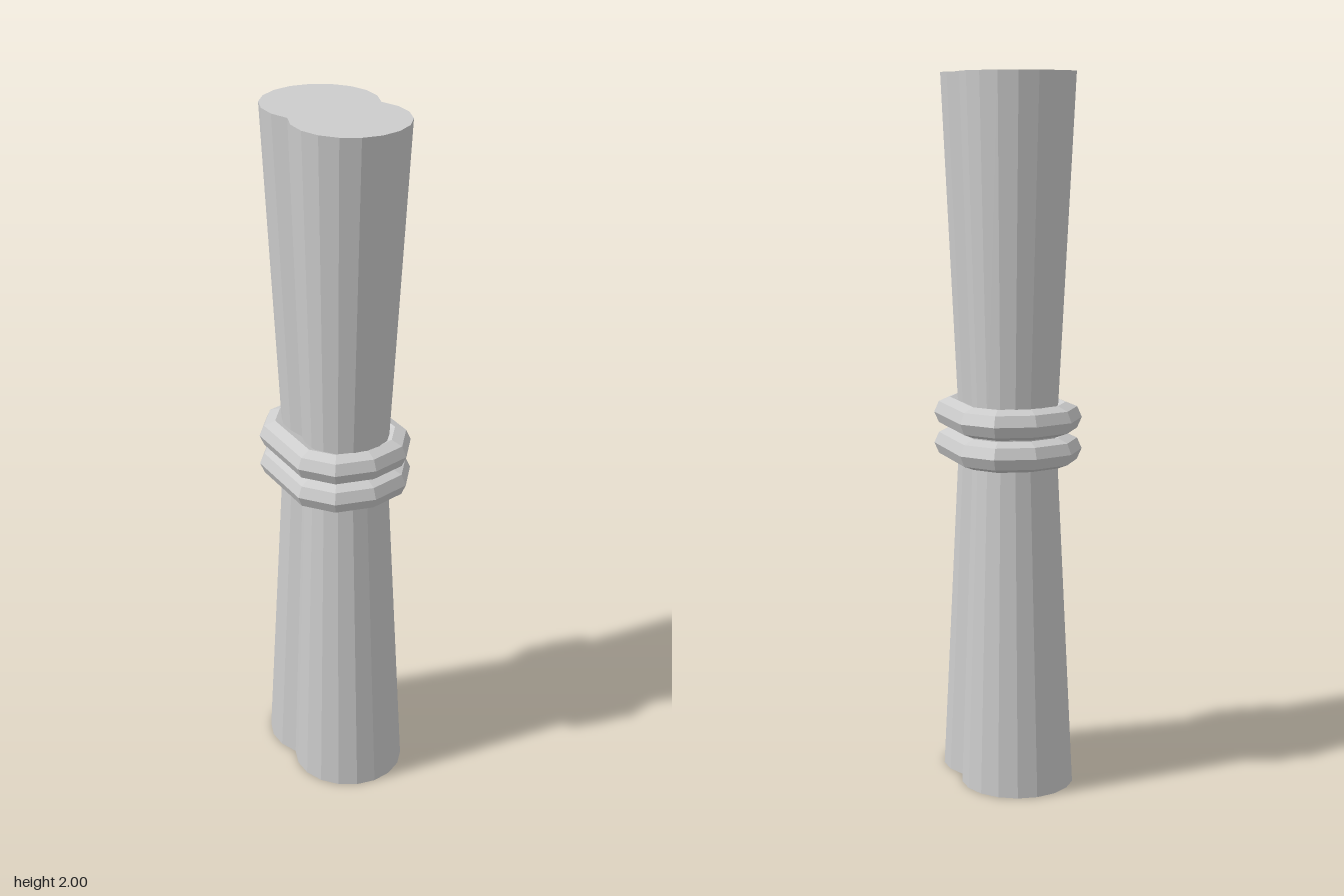
import * as THREE from 'three';

const grey = new THREE.MeshStandardMaterial({ color: 0xcccccc, flatShading: true });
grey.name = 'plain grey';

// Indexed grid of rows x cols points, closed around the columns (and rows if wrapped)
function grid(rows, wrapRows) {
  const n = rows[0].length, m = rows.length;
  const index = [];
  for (let i = 0; i < (wrapRows ? m : m - 1); i++) {
    for (let j = 0; j < n; j++) {
      const a = i * n + j, b = i * n + (j + 1) % n;
      const c = ((i + 1) % m) * n + j, d = ((i + 1) % m) * n + (j + 1) % n;
      index.push(a, b, d, a, d, c);
    }
  }
  return { points: rows.flat(), index };
}

function toMesh({ points, index }, name) {
  const g = new THREE.BufferGeometry();
  g.setAttribute('position', new THREE.Float32BufferAttribute(points.flat(), 3));
  g.setIndex(index);
  const flat = g.toNonIndexed();
  flat.computeVertexNormals();
  const mesh = new THREE.Mesh(flat, grey);
  mesh.name = name;
  return mesh;
}

// Two merged 18-sided stems, pinched at the middle
function makeBundle() {
  const outline = [];
  for (const side of [1, -1]) {
    for (let k = -6; k < 6; k++) {
      const a = k * Math.PI / 9;
      outline.push([side * 0.16 * Math.sin(a), side * (0.08 + 0.16 * Math.cos(a))]);
    }
  }
  const n = outline.length;
  const levels = [[0, 1], [1, 0.735], [2, 1]];
  const loft = grid(levels.map(([y, s]) => outline.map(([x, z]) => [x * s, y, z * s])), false);

  // End caps
  const bottom = loft.points.push([0, 0, 0]) - 1;
  const top = loft.points.push([0, 2, 0]) - 1;
  for (let j = 0; j < n; j++) {
    const k = (j + 1) % n;
    loft.index.push(bottom, k, j, top, 2 * n + j, 2 * n + k);
  }
  return toMesh(loft, 'pinchedBundle');
}

// Ten-cornered binding ring with an octagonal section
function makeRing(y, name) {
  const r = 0.043;
  const quarter = [[0, 0.228], [0.113, 0.2], [0.18, 0.114]];
  const outer = [
    ...quarter,
    ...quarter.slice(1).reverse().map(([x, z]) => [x, -z]),
    ...quarter.map(([x, z]) => [-x, -z]),
    ...quarter.slice(1).reverse().map(([x, z]) => [-x, z]),
  ].filter(([x, z], i, all) => all.findIndex(p => Math.hypot(p[0] - x, p[1] - z) < 1e-6) === i);
  const n = outer.length;

  // Mitred outward direction at each corner
  const edgeNormal = (a, b) => new THREE.Vector2(a[1] - b[1], b[0] - a[0]).normalize();
  const mitre = outer.map((p, i) => {
    const n1 = edgeNormal(outer[(i + n - 1) % n], p);
    const n2 = edgeNormal(p, outer[(i + 1) % n]);
    return n1.clone().add(n2).divideScalar(1 + n1.dot(n2));
  });

  const rows = [];
  for (let k = 0; k < 8; k++) {
    const a = k * Math.PI / 4;
    const inset = r * (1 - Math.cos(a));
    rows.push(outer.map(([x, z], i) => [
      x - mitre[i].x * inset, y + r * Math.sin(a), z - mitre[i].y * inset,
    ]));
  }
  return toMesh(grid(rows, true), name);
}

export function createModel() {
  const model = new THREE.Group();
  model.name = 'boundBundle';
  model.add(makeBundle(), makeRing(1.052, 'upperRing'), makeRing(0.963, 'lowerRing'));
  return model;
}
